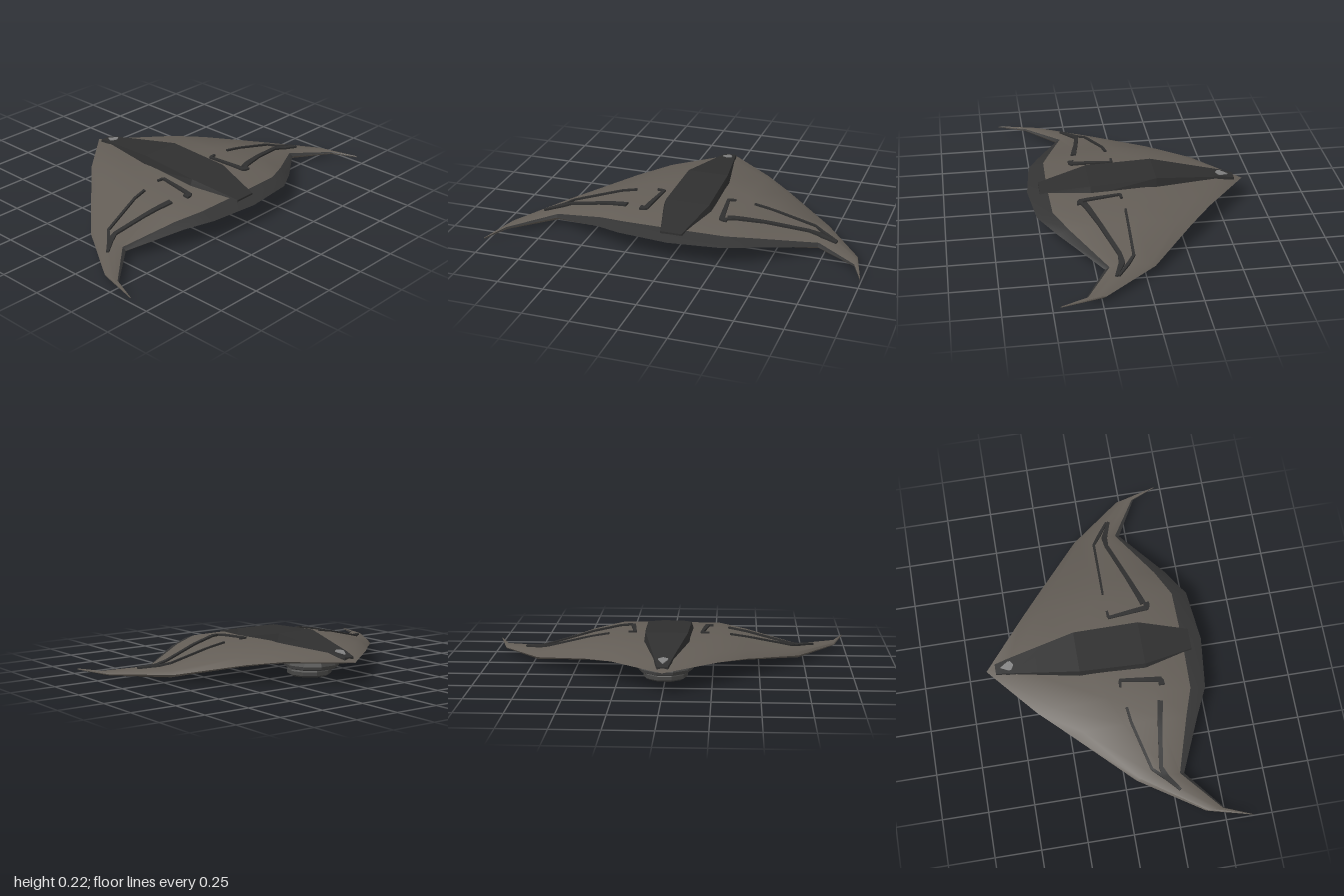
import * as THREE from 'three';
import { toCreasedNormals } from 'three/addons/utils/BufferGeometryUtils.js';

const mat = (name, color) => {
  const m = new THREE.MeshStandardMaterial({ color });
  m.name = name;
  return m;
};

// Skin a closed solid over rings of [x, y, z] points;
// the lengthwise bands listed in accents take the second material
function loft(rings, crease, accents = []) {
  const n = rings[0].length, index = [];
  const g = new THREE.BufferGeometry();
  for (let j = 0; j < n; j++) {
    const start = index.length, k = (j + 1) % n;
    for (let i = 0; i < rings.length - 1; i++) {
      const a = i * n + j, b = i * n + k;
      index.push(a, b, a + n, b, b + n, a + n);
    }
    g.addGroup(start, index.length - start, accents.includes(j) ? 1 : 0);
  }
  const capStart = index.length, last = (rings.length - 1) * n;
  for (let j = 1; j < n - 1; j++) index.push(0, j + 1, j, last, last + j, last + j + 1);
  g.addGroup(capStart, index.length - capStart, 0);
  g.setAttribute('position', new THREE.Float32BufferAttribute(rings.flat(2), 3));
  g.setIndex(index);
  return toCreasedNormals(g, crease);
}

// Wing stations: x, pointed-end z, broad-end z, edge y, top y, bottom y
const stations = [
  [-1, 0.635, 0.645, 0.03, 0.034, 0.027],
  [-0.94, 0.40, 0.50, 0.031, 0.039, 0.02],
  [-0.72, 0.06, 0.32, 0.045, 0.07, 0.018],
  [-0.43, -0.25, 0.445, 0.1, 0.142, 0.063],
  [-0.28, -0.41, 0.515, 0.118, 0.168, 0.08],
  [0, -0.65, 0.545, 0.118, 0.172, 0.08],
  [0.28, -0.415, 0.515, 0.118, 0.168, 0.08],
  [0.43, -0.29, 0.425, 0.1, 0.142, 0.063],
  [0.72, -0.05, 0.21, 0.045, 0.07, 0.018],
  [0.94, 0.23, 0.33, 0.031, 0.039, 0.02],
  [1, 0.455, 0.465, 0.03, 0.034, 0.027],
];
// Chord fraction and height: 0 is the edge, 1 the full top or bottom
const topProfile = [[0, 0], [0.1, 0.65], [0.42, 1], [0.7, 0.86], [0.91, 0.52], [1, 0]];
const bottomProfile = [[0.88, 0.85], [0.6, 1], [0.3, 1], [0.1, 0.6]];
const darkBands = [4, 6, 7, 8]; // rear bevel and underside

const lerp = THREE.MathUtils.lerp;

// Height of the hull's upper skin
function skinY(x, z) {
  let i = 0;
  while (i < stations.length - 2 && x > stations[i + 1][0]) i++;
  const a = stations[i], b = stations[i + 1], t = (x - a[0]) / (b[0] - a[0]);
  const [, z0, z1, edge, top] = a.map((v, k) => lerp(v, b[k], t));
  const f = THREE.MathUtils.clamp((z - z0) / (z1 - z0), 0, 1);
  let j = 0;
  while (j < topProfile.length - 2 && f > topProfile[j + 1][0]) j++;
  const [f0, h0] = topProfile[j], [f1, h1] = topProfile[j + 1];
  return lerp(edge, top, lerp(h0, h1, (f - f0) / (f1 - f0)));
}

// Raised strip following the upper skin along [x, z, width] points
function strip(path, height) {
  const pts = [];
  for (let i = 0; i < path.length - 1; i++) {
    for (let s = 0; s < 5; s++) pts.push(path[i].map((v, k) => lerp(v, path[i + 1][k], s / 5)));
  }
  pts.push(path[path.length - 1]);
  const rings = pts.map(([x, z, w], i) => {
    const p = pts[Math.max(i - 1, 0)], q = pts[Math.min(i + 1, pts.length - 1)];
    const dx = q[0] - p[0], dz = q[1] - p[1], l = Math.hypot(dx, dz);
    const sx = -dz / l * w / 2, sz = dx / l * w / 2;
    return [[-1, -0.008], [-1, height], [1, height], [1, -0.008]].map(([side, lift]) => {
      const px = x + side * sx, pz = z + side * sz;
      return [px, skinY(px, pz) + lift, pz];
    });
  });
  return loft(rings, 0.5);
}

export function createModel() {
  const group = new THREE.Group();
  const hullMat = mat('warm grey hull', 0x635d56);
  const undersideMat = mat('dark underside', 0x343434);
  const darkMat = mat('charcoal canopy and strips', 0x2f2f2f);
  const podMat = mat('pod grey', 0x464645);
  const lightMat = mat('light grey marker', 0x808080);
  const add = (name, geometry, material) => {
    const m = new THREE.Mesh(geometry, material);
    m.name = name;
    group.add(m);
    return m;
  };

  // Swept hull and wings in one skin
  add('hull', loft(stations.map(([x, z0, z1, edge, top, bottom]) => [
    ...topProfile.map(([f, h]) => [x, lerp(edge, top, h), lerp(z0, z1, f)]),
    ...bottomProfile.map(([f, h]) => [x, lerp(edge, bottom, h), lerp(z0, z1, f)]),
  ]), 0.6, darkBands), [hullMat, undersideMat]);

  // Long faceted canopy: z, base half width, top half width, base y, top y
  const canopy = [
    [-0.6, 0.03, 0.028, 0.11, 0.14],
    [-0.53, 0.048, 0.042, 0.13, 0.157],
    [-0.15, 0.126, 0.114, 0.15, 0.215],
    [0.21, 0.138, 0.122, 0.15, 0.197],
    [0.48, 0.064, 0.058, 0.12, 0.145],
  ];
  add('canopy', loft(canopy.map(([z, b, t, y0, y1]) =>
    [[b, y0, z], [t, y1, z], [-t, y1, z], [-b, y0, z]]), 0.1), darkMat);

  // Small kite-shaped marker near the point of the canopy
  const markerY = z => 0.004 + (z < -0.53
    ? lerp(0.14, 0.157, (z + 0.6) / 0.07) : lerp(0.157, 0.215, (z + 0.53) / 0.38));
  const marker = [[-0.57, 0.002], [-0.53, 0.025], [-0.515, 0.026], [-0.5, 0.003]];
  add('canopyMarker', loft(marker.map(([z, w]) => {
    const y = markerY(z);
    return [[w, y - 0.006, z], [w, y, z], [-w, y, z], [-w, y - 0.006, z]];
  }), 0.2), lightMat);

  // Raised wing strips, different on each side because the wings sweep unequally
  const strips = {
    leftInnerStrip: [[0.225, 0.055, 0.012], [0.185, 0.058, 0.016], [0.213, 0.28, 0.028], [0.245, 0.28, 0.034]],
    leftFrontStrip: [[0.33, 0.05, 0.012], [0.67, 0.055, 0.014], [0.73, 0.095, 0.018], [0.81, 0.15, 0.012]],
    leftRearStrip: [[0.24, 0.262, 0.032], [0.42, 0.202, 0.024], [0.65, 0.125, 0.022], [0.71, 0.122, 0.032], [0.81, 0.163, 0.014]],
    rightInnerStrip: [[-0.225, 0.055, 0.012], [-0.185, 0.058, 0.016], [-0.213, 0.28, 0.028], [-0.245, 0.28, 0.034]],
    rightFrontStrip: [[-0.34, 0.07, 0.014], [-0.42, 0.08, 0.014], [-0.68, 0.15, 0.014], [-0.76, 0.24, 0.018], [-0.81, 0.28, 0.012]],
    rightRearStrip: [[-0.33, 0.255, 0.03], [-0.5, 0.225, 0.024], [-0.68, 0.2, 0.022], [-0.73, 0.218, 0.032], [-0.81, 0.283, 0.014]],
  };
  for (const [name, path] of Object.entries(strips)) add(name, strip(path, 0.01), darkMat);

  // Stepped ten-sided pod under the pointed end
  const disc = (name, points, z) => {
    const g = new THREE.LatheGeometry(points.map(p => new THREE.Vector2(...p)), 10, Math.PI / 10);
    add(name, toCreasedNormals(g, 0.2), podMat).position.z = z;
  };
  disc('podCollar', [[0, 0.042], [0.125, 0.042], [0.145, 0.05], [0.15, 0.066], [0.14, 0.088], [0, 0.088]], -0.29);
  disc('podBase', [[0, 0], [0.105, 0], [0.12, 0.01], [0.12, 0.03], [0.11, 0.046], [0, 0.046]], -0.27);

  return group;
}
